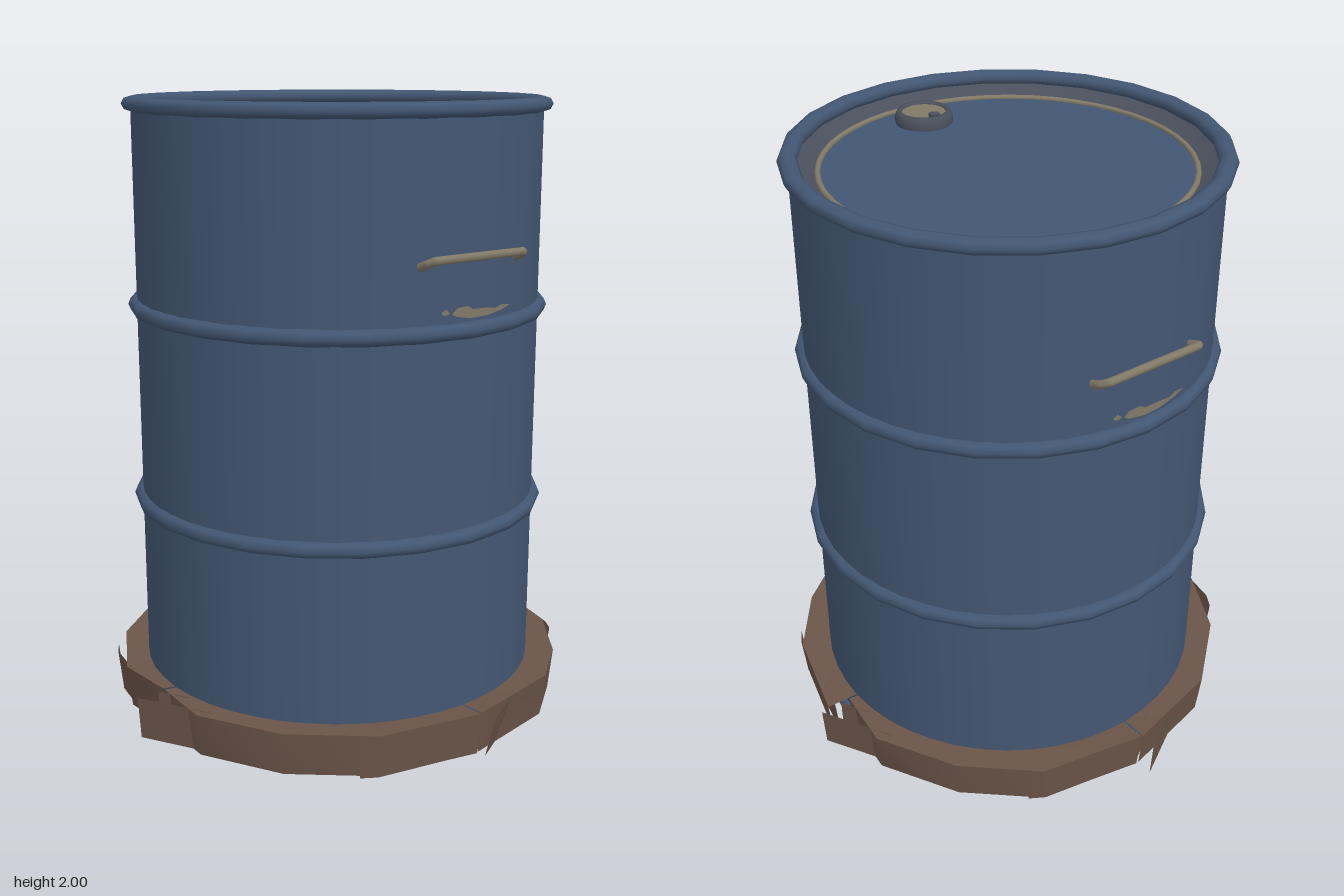
import * as THREE from 'three';

const paint = new THREE.MeshStandardMaterial({ name: 'bluePaint', color: 0x435773 });
const slate = new THREE.MeshStandardMaterial({ name: 'wornSlate', color: 0x4a505c });
const bare = new THREE.MeshStandardMaterial({ name: 'bareMetal', color: 0x827a67, side: THREE.DoubleSide });
const rust = new THREE.MeshStandardMaterial({ name: 'rustBrown', color: 0x6b5549, side: THREE.DoubleSide });

const SIDES = 24, R = 0.655;

function add(parent, name, geometry, material, x = 0, y = 0, z = 0) {
  const mesh = new THREE.Mesh(geometry, material);
  mesh.name = name;
  mesh.position.set(x, y, z);
  parent.add(mesh);
  return mesh;
}

const lathe = (points, sides = SIDES) =>
  new THREE.LatheGeometry(points.map(([r, y]) => new THREE.Vector2(r, y)), sides);

// Horizontal ring with a round section
function hoop(parent, name, y, radius, tube, material, sides = SIDES) {
  const g = new THREE.TorusGeometry(radius, tube, 8, sides);
  g.rotateX(Math.PI / 2);
  return add(parent, name, g, material, 0, y, 0);
}

// Quads between two equally long rows of points
function strip(a, b) {
  const pos = [], index = [];
  a.forEach((p, i) => {
    pos.push(...p, ...b[i]);
    if (i) index.push(2 * i - 2, 2 * i, 2 * i - 1, 2 * i - 1, 2 * i, 2 * i + 1);
  });
  const g = new THREE.BufferGeometry();
  g.setAttribute('position', new THREE.Float32BufferAttribute(pos, 3));
  g.setIndex(index);
  g.computeVertexNormals();
  return g;
}

// Worn patch following the wall; each row is [z, low y, high y]
function wornPatch(parent, rows) {
  const at = (z, y) => [Math.sqrt((R + 0.003) ** 2 - z * z), y, z];
  add(parent, 'wornPatch', strip(rows.map(r => at(r[0], r[1])), rows.map(r => at(r[0], r[2]))), bare);
}

export function createModel() {
  const model = new THREE.Group();
  model.name = 'barrel';

  // Drum wall, hoops and rims
  add(model, 'drumWall', lathe([[R, 0.02], [R, 1.98]], 48), paint);
  for (const y of [0.70, 1.34]) hoop(model, 'hoop', y, 0.657, 0.026, paint);
  hoop(model, 'topRim', 1.976, 0.654, 0.03, paint).scale.y = 0.8;
  hoop(model, 'bottomRim', 0.024, 0.654, 0.03, paint).scale.y = 0.8;

  // Sunken lid and base
  add(model, 'lidSlope', lathe([[0.645, 1.96], [0.62, 1.945], [0.575, 1.93]]), slate);
  const lid = new THREE.CircleGeometry(0.58, 48).rotateX(-Math.PI / 2);
  add(model, 'lid', lid, paint, 0, 1.93, 0);
  hoop(model, 'lidSeam', 1.933, 0.568, 0.009, bare, 48);
  const base = new THREE.CircleGeometry(0.635, 48).rotateX(Math.PI / 2);
  add(model, 'base', base, bare, 0, 0.022, 0);
  hoop(model, 'baseSeam', 0.02, 0.612, 0.009, bare, 48);

  // Filler cap
  const cap = new THREE.Group();
  cap.name = 'fillerCap';
  cap.position.set(0.447, 1.93, 0);
  add(cap, 'capCollar', lathe([[0.092, 0], [0.094, 0.02], [0.085, 0.038], [0.074, 0.04], [0.07, 0.03]], 20), slate);
  add(cap, 'capDisc', new THREE.CircleGeometry(0.073, 20).rotateX(-Math.PI / 2), bare, 0, 0.031, 0);
  add(cap, 'capCatch', new THREE.CylinderGeometry(0.018, 0.018, 0.012, 10), slate, -0.052, 0.035, 0.005);
  model.add(cap);

  // Handle and scraped paint, one set on each side
  for (const turn of [0, Math.PI]) {
    const side = new THREE.Group();
    side.name = turn ? 'rightFittings' : 'leftFittings';
    side.rotation.y = turn;
    const path = new THREE.CurvePath();
    const pts = [[0.635, 1.538, 0.185], [0.665, 1.55, 0.185], [0.686, 1.561, 0.172],
      [0.686, 1.561, -0.172], [0.665, 1.55, -0.185], [0.635, 1.538, -0.185]]
      .map(p => new THREE.Vector3(...p));
    for (let i = 1; i < pts.length; i++) path.add(new THREE.LineCurve3(pts[i - 1], pts[i]));
    add(side, 'handle', new THREE.TubeGeometry(path, 60, 0.013, 8), bare);
    wornPatch(side, [[0.075, 1.392, 1.395], [0.06, 1.385, 1.41], [0.02, 1.378, 1.414], [0, 1.376, 1.402],
      [-0.06, 1.377, 1.4], [-0.1, 1.382, 1.395], [-0.13, 1.386, 1.402], [-0.168, 1.394, 1.396]]);
    wornPatch(side, [[0.112, 1.396, 1.402], [0.098, 1.391, 1.41], [0.086, 1.396, 1.4]]);
    model.add(side);
  }

  // Loose rusted skirt: bent quarters, each [x, z] along its outer edge
  const H = 0.143;
  const wall = (points, inset) => strip(
    points.map(([x, z]) => [x * (1 - inset), 0.003, z * (1 - inset)]),
    points.map(([x, z]) => [x, H, z]));
  const bends = {
    frontLeft: [[0.004, 0.70], [0.22, 0.712], [0.48, 0.572], [0.67, 0.345], [0.745, 0.004]],
    backLeft: [[0.74, -0.004], [0.67, -0.35], [0.54, -0.52], [0.33, -0.68], [0.004, -0.768]],
    backRight: [[-0.004, -0.69], [-0.22, -0.715], [-0.48, -0.572], [-0.67, -0.36], [-0.745, -0.004]],
    frontRight: [[-0.745, 0.004], [-0.67, 0.345], [-0.48, 0.572], [-0.22, 0.712], [-0.004, 0.70]],
  };
  for (const [corner, bend] of Object.entries(bends)) {
    const quarter = new THREE.Group();
    quarter.name = corner + 'Skirt';
    add(quarter, 'skirtWall', wall(bend, 0.02), rust);
    const inner = bend.map(([x, z]) => {
      const k = 0.65 / Math.hypot(x, z);
      return [x * k, H - 0.006, z * k];
    });
    add(quarter, 'skirtLedge', strip(bend.map(([x, z]) => [x, H, z]), inner), rust);
    model.add(quarter);
  }

  // Torn ends standing off the skirt at each quarter
  for (let q = 0; q < 4; q++) {
    const ends = new THREE.Group();
    ends.name = 'tornEnds';
    ends.rotation.y = q * Math.PI / 2;
    add(ends, 'outerTip', wall([[0.004, 0.798], [0.24, 0.665]], q === 1 ? 0.05 : 0.012), rust);
    add(ends, 'innerTip', wall([[0.004, 0.722], [0.1, 0.667]], 0.005), rust);
    add(ends, 'flare', wall([[-0.4, 0.645], [-0.35, 0.675], [-0.004, 0.742]], 0.02), rust);
    model.add(ends);
  }
  return model;
}
